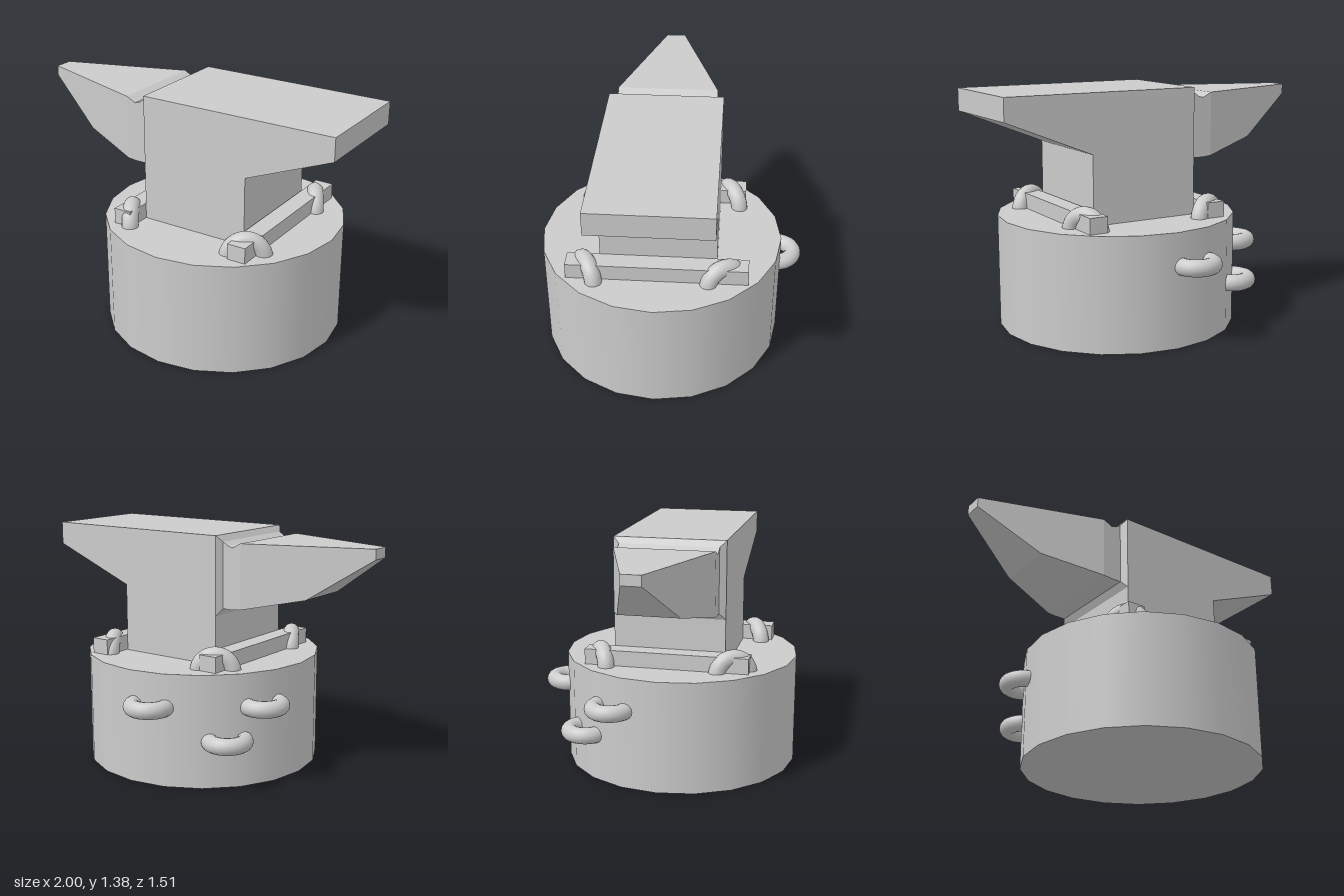
import * as THREE from 'three';

const smooth = new THREE.MeshStandardMaterial({ color: 0xcccccc });
const flat = new THREE.MeshStandardMaterial({ color: 0xcccccc, flatShading: true });

function add(parent, name, geometry, material = flat) {
  const mesh = new THREE.Mesh(geometry, material);
  mesh.name = name;
  parent.add(mesh);
  return mesh;
}

// Lofts rectangular sections [x, yBottom, yTop, halfWidth] and caps the last one
function loftSections(sections, zMid) {
  const rings = sections.map(([x, y0, y1, w]) => [
    [x, y0, zMid - w], [x, y0, zMid + w], [x, y1, zMid + w], [x, y1, zMid - w],
  ]);
  const points = [];
  const quad = (a, b, c, d) => points.push(...a, ...b, ...c, ...a, ...c, ...d);
  for (let i = 0; i < rings.length - 1; i++) {
    for (let j = 0; j < 4; j++) {
      const k = (j + 1) % 4;
      quad(rings[i][j], rings[i][k], rings[i + 1][k], rings[i + 1][j]);
    }
  }
  quad(...rings[rings.length - 1]);
  const geometry = new THREE.BufferGeometry();
  geometry.setAttribute('position', new THREE.Float32BufferAttribute(points, 3));
  geometry.computeVertexNormals();
  return geometry;
}

export function createModel() {
  const model = new THREE.Group();
  model.name = 'anvilOnStump';
  const cx = 0.17, cz = 0.06, stumpTop = 0.65;

  // Wooden stump
  add(model, 'stump', new THREE.CylinderGeometry(0.69, 0.69, stumpTop, 20), smooth)
    .position.set(cx, stumpTop / 2, cz);

  // Anvil body with sloping heel
  const anvil = new THREE.Group();
  anvil.name = 'anvil';
  model.add(anvil);
  const profile = new THREE.Shape([
    [-0.16, stumpTop], [0.49, stumpTop], [0.49, 1.045], [1, 1.25], [1, 1.38], [-0.16, 1.38],
  ].map(([x, y]) => new THREE.Vector2(x, y)));
  const body = new THREE.ExtrudeGeometry(profile, { depth: 0.65, bevelEnabled: false });
  body.translate(0, 0, -0.27);
  add(anvil, 'body', body);

  // Horn with chamfered root and a shallow groove on top
  add(anvil, 'horn', loftSections([
    [-0.16, 0.93, 1.38, 0.325],
    [-0.185, 0.97, 1.345, 0.288],
    [-0.215, 0.97, 1.325, 0.288],
    [-0.245, 0.97, 1.315, 0.288],
    [-0.30, 0.975, 1.343, 0.288],
    [-0.65, 1.05, 1.343, 0.172],
    [-1, 1.285, 1.343, 0.055],
  ], 0.056));

  // Clamp bars across the stump on either side of the body
  for (const [name, x, z0, z1] of [['rightBar', -0.215, -0.42, 0.53], ['leftBar', 0.55, -0.445, 0.56]]) {
    add(model, name, new THREE.BoxGeometry(0.108, 0.09, z1 - z0))
      .position.set(x, stumpTop + 0.045, (z0 + z1) / 2);
  }

  // Staples arching over the bar ends
  const stapleGeometry = new THREE.TorusGeometry(0.098, 0.048, 16, 24, Math.PI);
  for (const [x, z, angle] of [
    [-0.22, 0.435, -Math.PI / 3], [-0.208, -0.335, Math.PI / 6],
    [0.545, 0.45, Math.PI / 6], [0.56, -0.31, -Math.PI / 3],
  ]) {
    const staple = add(model, 'staple', stapleGeometry, smooth);
    staple.position.set(x, 0.63, z);
    staple.rotation.y = angle;
  }

  // Tool loops on the side of the stump, their arcs facing outward
  const loopGeometry = new THREE.TorusGeometry(0.098, 0.048, 16, 32, Math.PI + 0.6);
  loopGeometry.rotateZ(-0.3);
  for (const [x, y, z] of [[0.045, 0.457, -0.61], [-0.335, 0.27, -0.4], [-0.455, 0.457, -0.22]]) {
    const loop = add(model, 'toolLoop', loopGeometry, smooth);
    loop.position.set(x, y, z);
    loop.rotation.set(-Math.PI / 2, Math.atan2(cx - x, cz - z), 0, 'YXZ');
  }
  return model;
}
